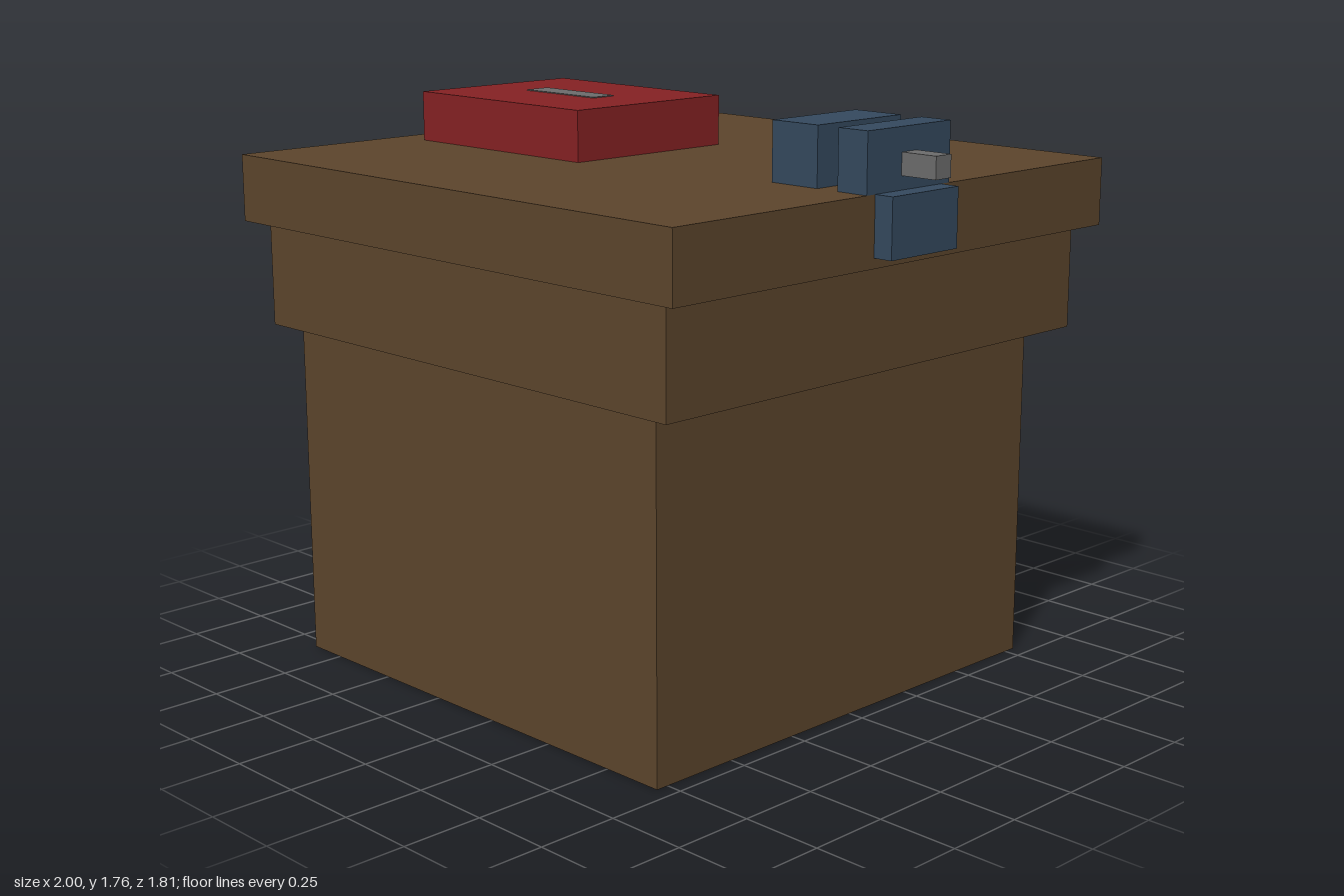
import * as THREE from 'three';

const mat = (name, color) => {
  const m = new THREE.MeshStandardMaterial({ color });
  m.name = name;
  return m;
};

export function createModel() {
  const wood = mat('brownWood', 0x5c452c);
  const red = mat('redPaint', 0x852123);
  const blue = mat('blueSteel', 0x34495e);
  const grey = mat('greyMetal', 0x6c6c6c);
  wood.side = THREE.DoubleSide; // the cabinet is an open shell

  const model = new THREE.Group();
  model.name = 'workbench';
  const group = (name) => {
    const g = new THREE.Group();
    g.name = name;
    model.add(g);
    return g;
  };

  // Box given by its extents on each axis
  const box = (parent, name, material, [x0, x1], [y0, y1], [z0, z1]) => {
    const mesh = new THREE.Mesh(new THREE.BoxGeometry(x1 - x0, y1 - y0, z1 - z0), material);
    mesh.position.set((x0 + x1) / 2, (y0 + y1) / 2, (z0 + z1) / 2);
    mesh.name = name;
    parent.add(mesh);
    return mesh;
  };

  // Bench: hollow cabinet, wider apron and overhanging top
  const bench = group('bench');
  const cabinet = box(bench, 'cabinet', wood, [-0.88, 0.7], [0, 1.06], [-0.79, 0.79]);
  const geo = cabinet.geometry;
  const sides = Array.from(geo.index.array).filter((_, i) => i < 12 || i >= 24);
  geo.setIndex(sides); // keep the four walls only
  geo.clearGroups();
  box(bench, 'apron', wood, [-0.93, 0.81], [1.06, 1.38], [-0.86, 0.86]);
  box(bench, 'benchTop', wood, [-1, 0.88], [1.38, 1.585], [-0.905, 0.905]);

  // Drawer pulls on the back wall
  for (let i = 0; i < 3; i++) {
    const y = 0.246 + i * 0.296;
    box(bench, 'drawerPull' + (i + 1), grey, [-0.29, 0.1], [y - 0.025, y + 0.025], [-0.794, -0.79]);
  }

  // Toolbox with carrying handle and latch
  const toolbox = group('toolbox');
  box(toolbox, 'toolboxBody', red, [-0.88, -0.145], [1.585, 1.74], [-0.297, 0.297]);
  box(toolbox, 'toolboxHandle', grey, [-0.67, -0.355], [1.74, 1.743], [-0.043, 0.043]);
  box(toolbox, 'toolboxLatch', grey, [-0.577, -0.44], [1.627, 1.683], [-0.3, -0.297]);

  // Vise clamped over the left edge
  const vise = group('vise');
  box(vise, 'innerJaw', blue, [0.53, 0.7], [1.585, 1.76], [-0.175, 0.175]);
  box(vise, 'outerJaw', blue, [0.775, 0.88], [1.585, 1.76], [-0.175, 0.175]);
  box(vise, 'mountingPlate', blue, [0.88, 0.942], [1.41, 1.585], [-0.14, 0.14]);
  box(vise, 'viseScrew', grey, [0.88, 1], [1.625, 1.69], [-0.032, 0.032]);

  return model;
}
